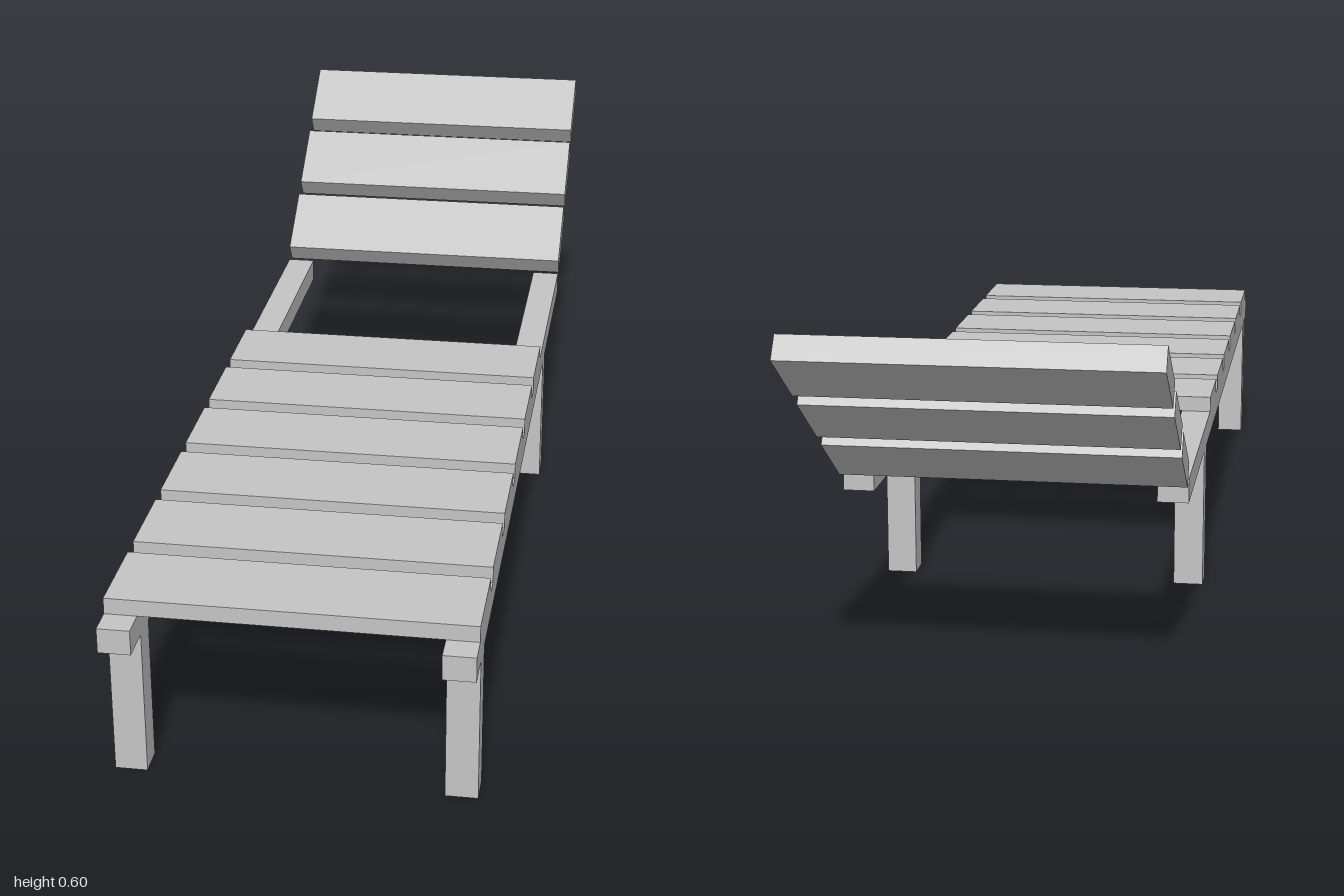
import * as THREE from 'three';

export function createModel() {
  const model = new THREE.Group();
  model.name = 'sunLounger';

  const grey = new THREE.MeshStandardMaterial({ color: 0xc4c4c4 });
  grey.name = 'plain grey';

  const box = (name, w, h, d, x, y, z) => {
    const mesh = new THREE.Mesh(new THREE.BoxGeometry(w, h, d), grey);
    mesh.name = name;
    mesh.position.set(x, y, z);
    model.add(mesh);
    return mesh;
  };

  const width = 0.578;
  const beam = 0.052;
  const railBottom = 0.247;
  const railTop = 0.289;

  // Side rails and legs, mirrored left and right
  for (const [side, sign] of [['left', 1], ['right', -1]]) {
    const x = sign * (width - beam) / 2;
    box(`${side}Rail`, beam, railTop - railBottom, 1.575, x, (railTop + railBottom) / 2, 0.2125);
    box(`${side}FrontLeg`, beam, railBottom, 0.048, x, railBottom / 2, 0.915);
    box(`${side}BackLeg`, beam, railBottom, 0.048, x, railBottom / 2, -0.222);
  }

  // Flat seat slats
  for (let i = 0; i < 6; i++) {
    box(`seatSlat${i + 1}`, width, 0.027, 0.149, 0, railTop + 0.0135, 0.88 - i * 0.184);
  }

  // Reclined backrest slats, rising towards the back
  for (let i = 0; i < 3; i++) {
    const slat = box(`backrestSlat${i + 1}`, width, 0.0425, 0.141, 0, 0.339 + i * 0.1, -0.648 - i * 0.141);
    slat.rotation.x = THREE.MathUtils.degToRad(34.7);
  }

  return model;
}
